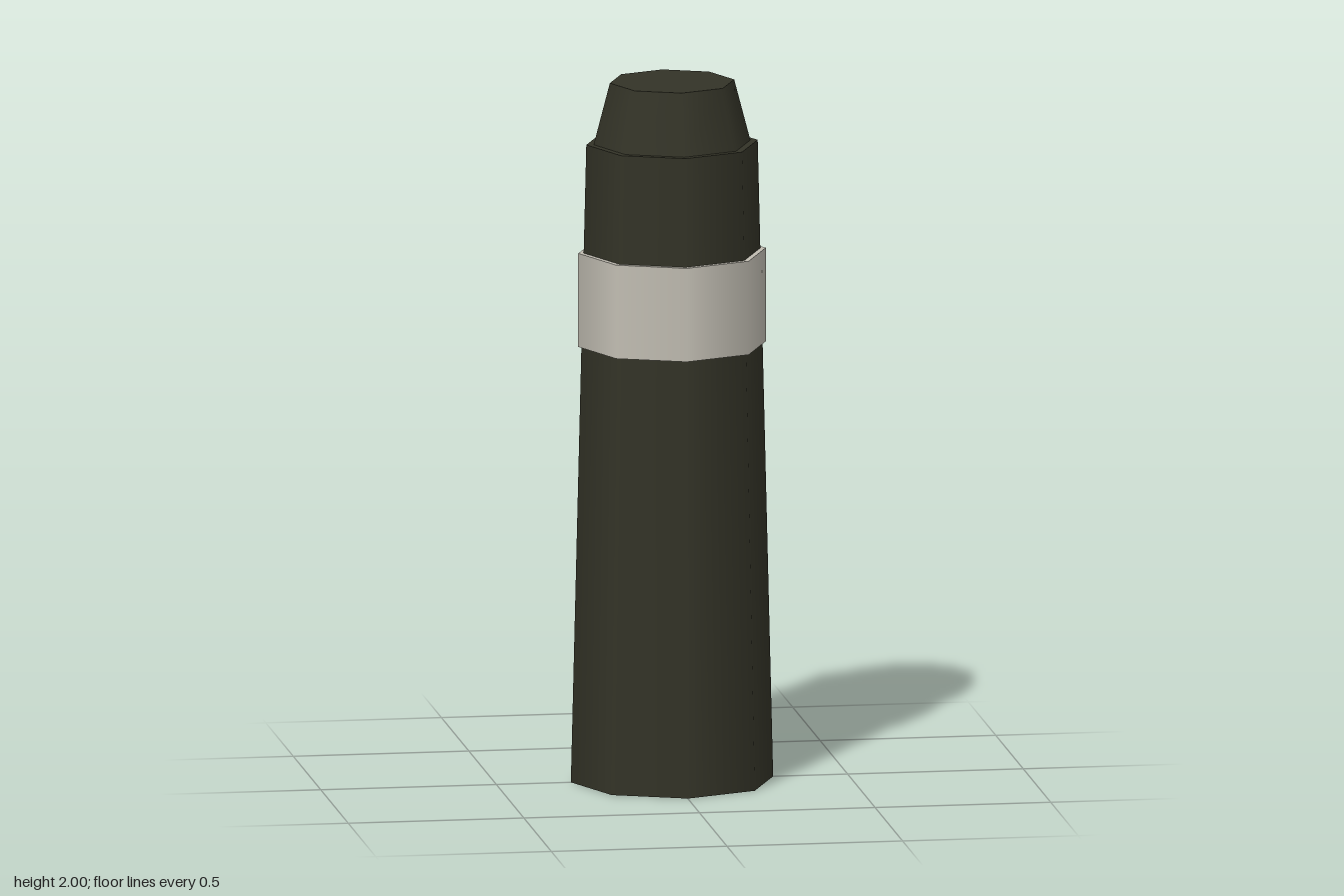
import * as THREE from 'three';

const SIDES = 8;

export function createModel() {
  const model = new THREE.Group();
  model.name = 'bandedCanister';

  const darkOlive = new THREE.MeshStandardMaterial({ color: 0x333327 });
  darkOlive.name = 'dark olive';
  const paleGrey = new THREE.MeshStandardMaterial({ color: 0xc2beb3 });
  paleGrey.name = 'pale grey';

  // Closed eight-sided section standing between two heights
  function section(name, rBottom, rTop, y0, y1, material) {
    const geometry = new THREE.CylinderGeometry(rTop, rBottom, y1 - y0, SIDES);
    const mesh = new THREE.Mesh(geometry, material);
    mesh.name = name;
    mesh.position.y = (y0 + y1) / 2;
    model.add(mesh);
  }

  // Long body with a slight taper
  section('body', 0.288, 0.244, 0, 1.825, darkOlive);
  // Straight collar around the upper body
  section('band', 0.267, 0.267, 1.247, 1.515, paleGrey);
  // Tapered cap on top
  section('cap', 0.223, 0.177, 1.825, 2, darkOlive);

  return model;
}
